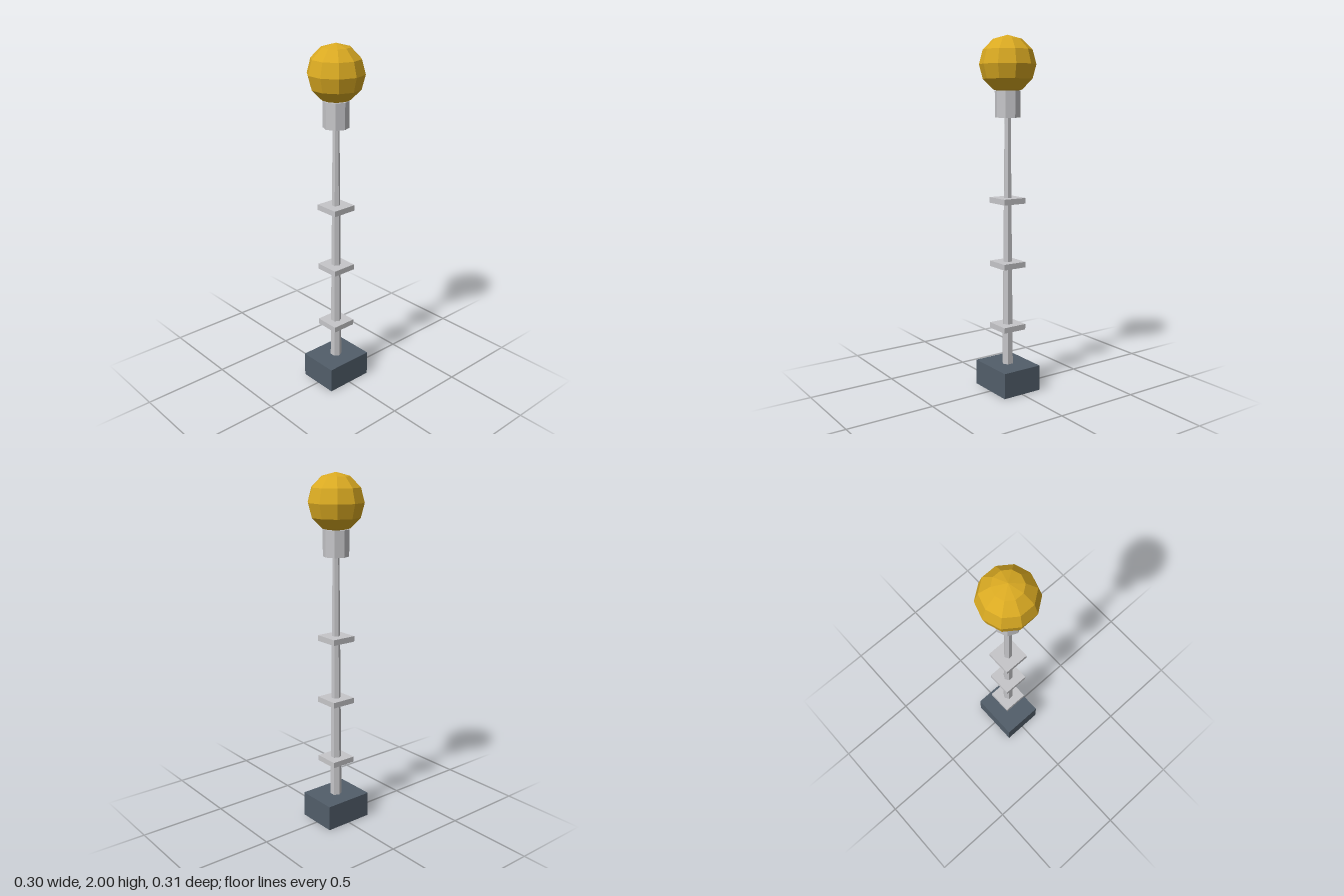
import * as THREE from 'three';

export function createModel() {
  const model = new THREE.Group();

  const material = (name, color) => {
    const m = new THREE.MeshStandardMaterial({ color, flatShading: true });
    m.name = name;
    return m;
  };
  const slate = material('slate', 0x525e6a);
  const silver = material('silver', 0xc6c6c9);
  const gold = material('gold', 0xdaaa22);

  const add = (name, geometry, mat, y) => {
    const mesh = new THREE.Mesh(geometry, mat);
    mesh.name = name;
    mesh.position.y = y;
    model.add(mesh);
    return mesh;
  };

  // Block at the foot
  add('base', new THREE.BoxGeometry(0.29, 0.146, 0.242), slate, 0.073);

  // Tapered six-sided pole
  add('pole', new THREE.CylinderGeometry(0.019, 0.033, 1.42, 6), silver, 0.855);

  // Square plates along the pole
  [0.367, 0.731, 1.095].forEach((y, i) =>
    add(`plate${i + 1}`, new THREE.BoxGeometry(0.145, 0.032, 0.145), silver, y));

  // Eight-sided collar under the ball
  add('collar', new THREE.CylinderGeometry(0.072, 0.072, 0.146, 8), silver, 1.628);

  // Faceted ball, turned so that corners point front and back
  const ball = add('ball', new THREE.SphereGeometry(0.157, 10, 6), gold, 1.843);
  ball.rotation.y = Math.PI / 2;

  return model;
}
